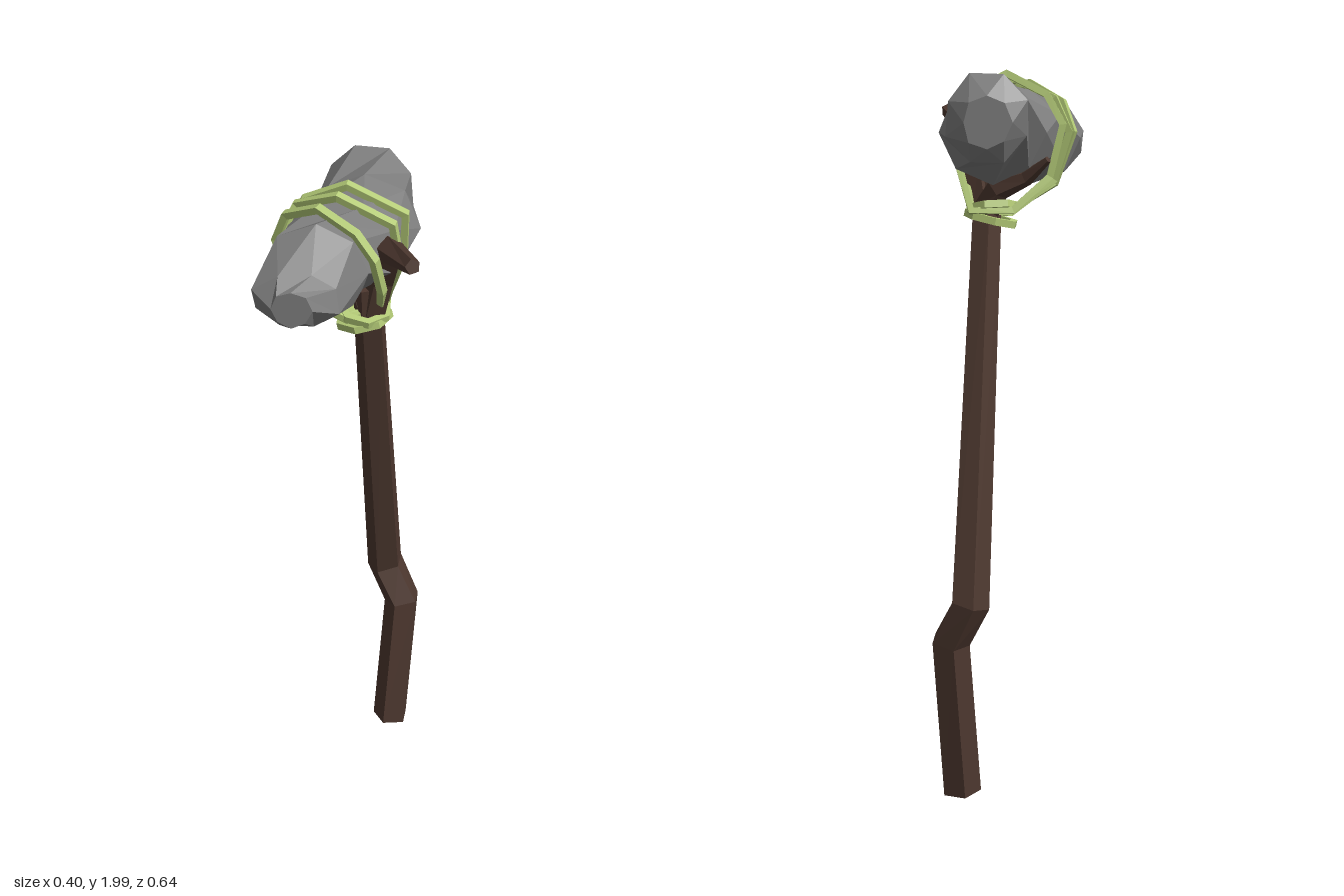
import * as THREE from 'three';

const V = (a) => new THREE.Vector3(...a);
const mat = (color) => new THREE.MeshStandardMaterial({ color, flatShading: true, roughness: 0.9 });

// Skin a list of equal-length rings; open lofts get fan caps, closed ones join up
function loft(rings, closed = false) {
  const out = [];
  const tri = (...ps) => ps.forEach((p) => out.push(p.x, p.y, p.z));
  const n = rings[0].length;
  const last = closed ? rings.length : rings.length - 1;
  for (let i = 0; i < last; i++) {
    const a = rings[i], b = rings[(i + 1) % rings.length];
    for (let j = 0; j < n; j++) {
      const k = (j + 1) % n;
      tri(a[j], b[j], a[k]);
      tri(b[j], b[k], a[k]);
    }
  }
  if (!closed) {
    const cap = (ring, flip) => {
      const c = ring.reduce((s, p) => s.add(p), V([0, 0, 0])).divideScalar(n);
      ring.forEach((p, j) => {
        const q = ring[(j + 1) % n];
        flip ? tri(c, q, p) : tri(c, p, q);
      });
    };
    cap(rings[0], false);
    cap(rings[rings.length - 1], true);
  }
  const g = new THREE.BufferGeometry();
  g.setAttribute('position', new THREE.Float32BufferAttribute(out, 3));
  g.computeVertexNormals();
  return g;
}

// Sweep a polygon along points; ref(p) gives the direction its first axis leans to
function sweep(points, radii, sides, phase, ref, closed = false) {
  const pts = points.map(V), m = pts.length;
  const at = (i) => (closed ? pts[(i + m) % m] : pts[Math.min(Math.max(i, 0), m - 1)]);
  const rings = pts.map((p, i) => {
    const d0 = at(i).clone().sub(at(i - 1)).normalize();
    const d1 = at(i + 1).clone().sub(at(i)).normalize();
    const t = d0.add(d1).normalize();
    const u = ref(p).clone().projectOnPlane(t).normalize();
    const w = u.clone().cross(t);
    const r = Array.isArray(radii) ? radii[i] : radii;
    return Array.from({ length: sides }, (_, j) => {
      const a = phase + (j / sides) * Math.PI * 2;
      return p.clone().addScaledVector(u, r * Math.cos(a)).addScaledVector(w, r * Math.sin(a));
    });
  });
  return loft(rings, closed);
}

export function createModel() {
  const model = new THREE.Group();
  const wood = mat(0x4d382f), rock = mat(0x7f7f7f), vine = mat(0xb5cc78);
  const add = (name, geometry, material, parent = model) => {
    const mesh = new THREE.Mesh(geometry, material);
    mesh.name = name;
    parent.add(mesh);
  };

  // Crooked handle with two forked branches
  const handle = new THREE.Group();
  handle.name = 'handle';
  model.add(handle);
  const alongX = () => V([1, 0, 0]), alongY = () => V([0, 1, 0]);
  add('shaft', sweep(
    [[0.11, 0.012, -0.195], [0.135, 0.46, -0.24], [0.078, 0.575, -0.27], [0.055, 1.6, 0], [0.05, 1.7, 0.015]],
    [0.055, 0.055, 0.055, 0.042, 0.035], 5, 0.66, alongX), wood, handle);
  add('frontBranch', sweep(
    [[0.06, 1.6, 0], [0.085, 1.73, 0.02], [0.115, 1.845, 0.09], [0.185, 1.885, 0.24]],
    [0.04, 0.042, 0.036, 0.02], 5, 0.66, alongX), wood, handle);
  add('backBranch', sweep(
    [[0.06, 1.61, 0], [0.02, 1.68, -0.03], [-0.06, 1.71, -0.06], [-0.12, 1.76, -0.095]],
    [0.04, 0.036, 0.022, 0.01], 5, 0.3, alongY), wood, handle);

  // Rough stone head: jittered oval sections from back to front
  let seed = 7;
  const rand = () => (seed = (seed * 16807) % 2147483647) / 2147483647 - 0.5;
  const sections = [ // z, centre x, centre y, half width, half height
    [-0.25, 0.03, 1.86, 0.065, 0.07],
    [-0.2, 0.035, 1.87, 0.115, 0.12],
    [-0.07, 0.03, 1.83, 0.14, 0.135],
    [0.05, -0.01, 1.82, 0.14, 0.135],
    [0.16, -0.06, 1.81, 0.13, 0.13],
    [0.28, -0.095, 1.795, 0.11, 0.08],
    [0.32, -0.1, 1.79, 0.05, 0.05],
  ];
  const stoneRings = sections.map(([z, cx, cy, rx, ry], i) =>
    Array.from({ length: 8 }, (_, j) => {
      const a = ((j + (i % 2) * 0.5) / 8) * Math.PI * 2;
      const k = 1 + rand() * 0.12;
      const dz = i > 0 && i < sections.length - 1 ? rand() * 0.04 : 0;
      return V([cx + rx * k * Math.cos(a), cy - ry * k * Math.sin(a), z + dz]);
    }));
  add('stoneHead', loft(stoneRings), rock);

  // Vine lashing: three loops over the stone and two coils at the fork
  const lashing = new THREE.Group();
  lashing.name = 'lashing';
  model.add(lashing);
  const loop = (name, pts) => {
    const c = pts.reduce((s, p) => s.add(V(p)), V([0, 0, 0])).divideScalar(pts.length);
    add(name, sweep(pts, 0.014, 4, Math.PI / 4, (p) => p.clone().sub(c), true), vine, lashing);
  };
  loop('backLoop', [
    [0.09, 1.62, -0.06], [0.14, 1.78, 0], [0.145, 1.91, 0.02], [0, 1.985, 0.03],
    [-0.11, 1.93, 0.01], [-0.155, 1.85, 0], [-0.12, 1.71, 0], [-0.02, 1.62, -0.03]]);
  loop('middleLoop', [
    [0.09, 1.62, -0.04], [0.135, 1.8, 0.06], [0.12, 1.91, 0.08], [-0.02, 1.97, 0.065],
    [-0.13, 1.92, 0.02], [-0.17, 1.83, 0.035], [-0.13, 1.7, 0.05], [-0.01, 1.61, 0.02]]);
  loop('frontLoop', [
    [0.08, 1.63, 0], [0.1, 1.75, 0.13], [0.085, 1.86, 0.175], [0.04, 1.93, 0.178],
    [-0.06, 1.96, 0.115], [-0.15, 1.91, 0.06], [-0.18, 1.83, 0.04], [-0.13, 1.69, 0.06],
    [0, 1.61, 0.04]]);
  for (const [i, y] of [1.595, 1.625].entries()) {
    const coil = Array.from({ length: 7 }, (_, j) => {
      const a = -(j / 7) * Math.PI * 2 + i * 0.4;
      return [0.04 + 0.065 * Math.cos(a), y + 0.015 * Math.cos(a + i * 2), 0.06 * Math.sin(a)];
    });
    loop('forkCoil' + (i + 1), coil);
  }
  return model;
}
